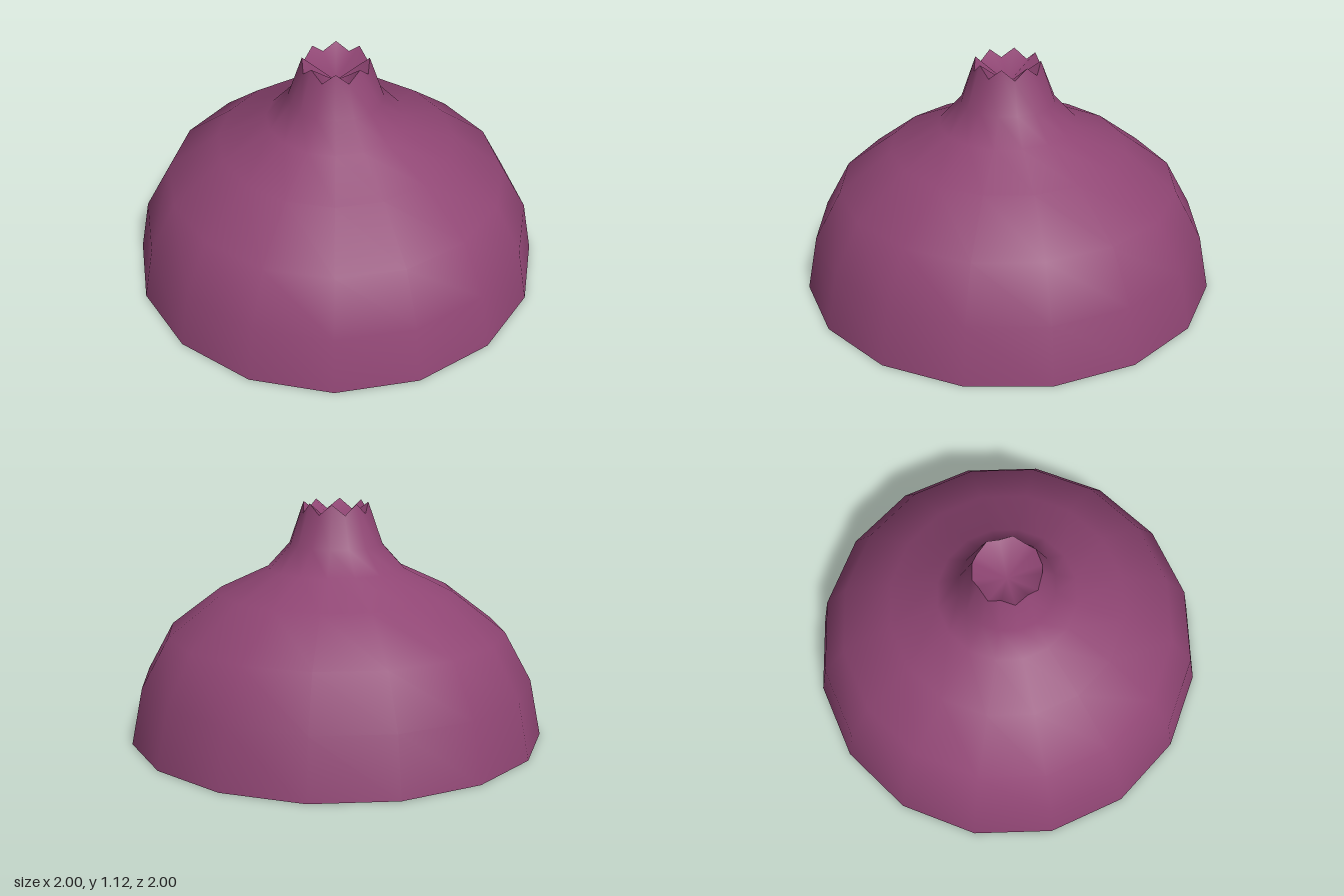
import * as THREE from 'three';

const SIDES = 16;

export function createModel() {
  const group = new THREE.Group();
  group.name = 'halfOnion';

  const skin = new THREE.MeshStandardMaterial({ color: 0x8f4573 });
  skin.name = 'purple skin';
  const flesh = new THREE.MeshStandardMaterial({ color: 0xd6bccb });
  flesh.name = 'pale flesh';

  function add(name, geometry, material) {
    const mesh = new THREE.Mesh(geometry, material);
    mesh.name = name;
    group.add(mesh);
  }

  // Bulb: a turned profile whose top edge alternates between tips and notches
  const profile = [
    [1, 0], [0.945, 0.27], [0.815, 0.505], [0.565, 0.695],
    [0.33, 0.805], [0.225, 0.92], [0.155, 1.12],
  ].map(([r, y]) => new THREE.Vector2(r, y));
  const bulb = new THREE.LatheGeometry(profile, SIDES);
  const pos = bulb.attributes.position;
  const rim = [];
  for (let i = 0; i <= SIDES; i++) {
    const top = i * profile.length + profile.length - 1;
    const a = (i / SIDES) * Math.PI * 2;
    const notch = i % 2 === 0;
    const r = notch ? 0.16 : 0.155;
    pos.setXYZ(top, r * Math.sin(a), notch ? 1.07 : 1.12, r * Math.cos(a));
    if (i < SIDES) rim.push(pos.getX(top), pos.getY(top), pos.getZ(top));
  }
  add('bulb', bulb, skin);

  // Crown hollow: a pleated fan sinking from the rim to the centre
  const hollow = new THREE.BufferGeometry();
  hollow.setAttribute('position', new THREE.Float32BufferAttribute([...rim, 0, 1.0, 0], 3));
  const faces = [];
  for (let i = 0; i < SIDES; i++) faces.push(SIDES, i, (i + 1) % SIDES);
  hollow.setIndex(faces);
  hollow.computeVertexNormals();
  add('crownHollow', hollow, skin);

  // Cut face: alternating layers, facing down
  const radii = [0, 0.33, 0.43, 0.55, 0.64, 0.72, 0.81, 0.925, 1];
  for (let i = 0; i < radii.length - 1; i++) {
    const geometry = i === 0
      ? new THREE.CircleGeometry(radii[1], SIDES)
      : new THREE.RingGeometry(radii[i], radii[i + 1], SIDES);
    geometry.rotateX(Math.PI / 2);
    const pale = i % 2 === 0;
    add((pale ? 'fleshLayer' : 'skinLayer') + i, geometry, pale ? flesh : skin);
  }

  return group;
}
